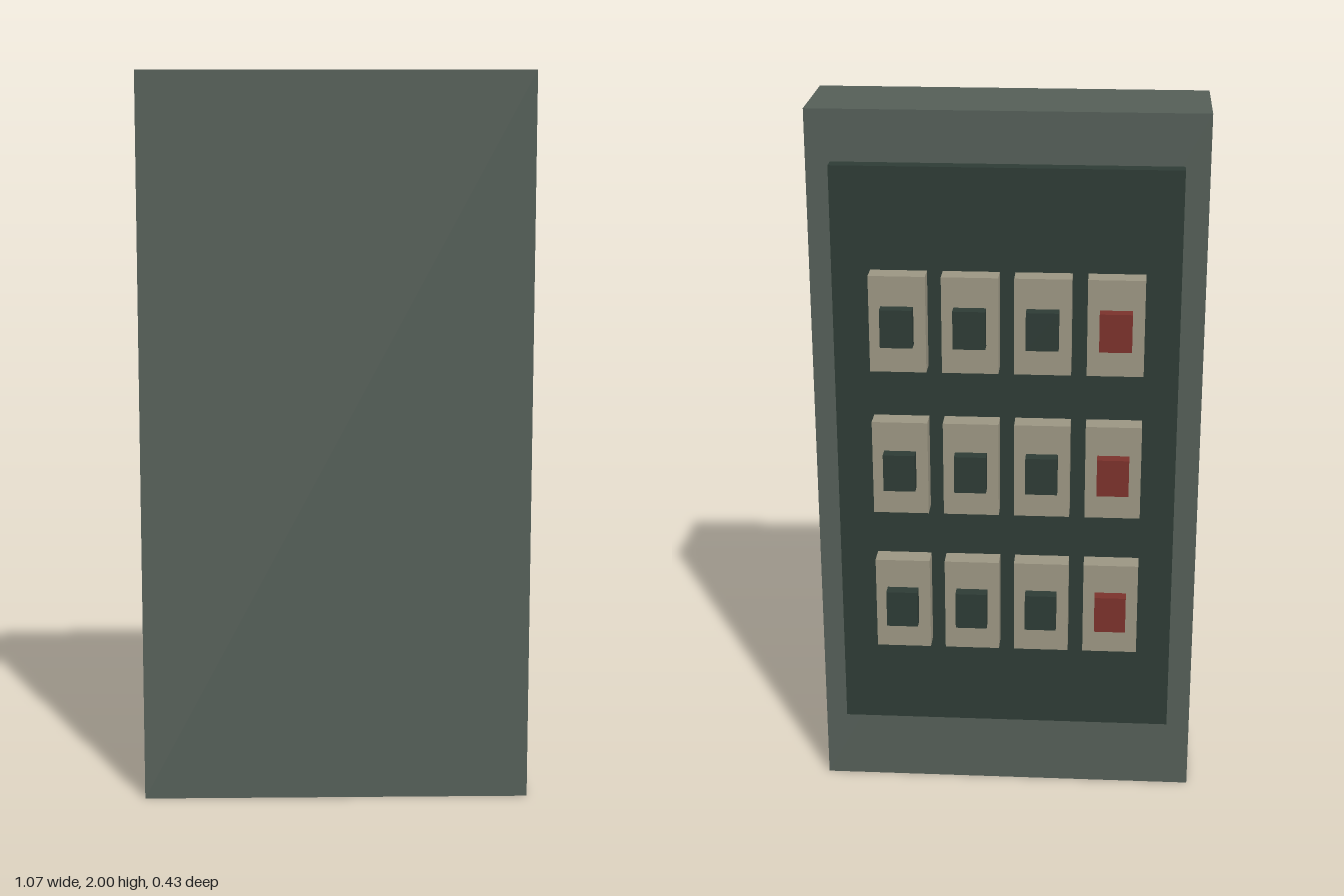
import * as THREE from 'three';

const material = (name, color) => {
  const m = new THREE.MeshStandardMaterial({ color });
  m.name = name;
  return m;
};

// Box given by its centre in x and y, its size, and its z range
function box(name, mat, x, y, w, h, zBack, zFront) {
  const mesh = new THREE.Mesh(new THREE.BoxGeometry(w, h, zFront - zBack), mat);
  mesh.name = name;
  mesh.position.set(x, y, (zBack + zFront) / 2);
  return mesh;
}

export function createModel() {
  const steel = material('greySteel', 0x545e57);
  const dark = material('darkGreen', 0x2d3b35);
  const beige = material('beige', 0x9b9582);
  const red = material('red', 0x7a312b);

  const model = new THREE.Group();
  model.name = 'breakerPanel';

  // Cabinet and raised panel on its back
  model.add(box('cabinet', steel, 0, 1, 1.066, 2, -0.081, 0.213));
  model.add(box('panel', dark, 0, 1.04, 0.934, 1.64, -0.123, -0.081));

  // Three rows of four breakers; the last column has red switches
  for (let row = 0; row < 3; row++) {
    for (let col = 0; col < 4; col++) {
      const breaker = new THREE.Group();
      breaker.name = 'breaker';
      breaker.position.set(-0.296 + col * 0.194, 1.445 - row * 0.4135, 0);
      breaker.add(box('breakerBody', beige, 0, 0, 0.152, 0.267, -0.181, -0.123));
      breaker.add(box('switch', col === 0 ? red : dark, 0, -0.002, 0.087, 0.105, -0.216, -0.181));
      model.add(breaker);
    }
  }
  return model;
}
